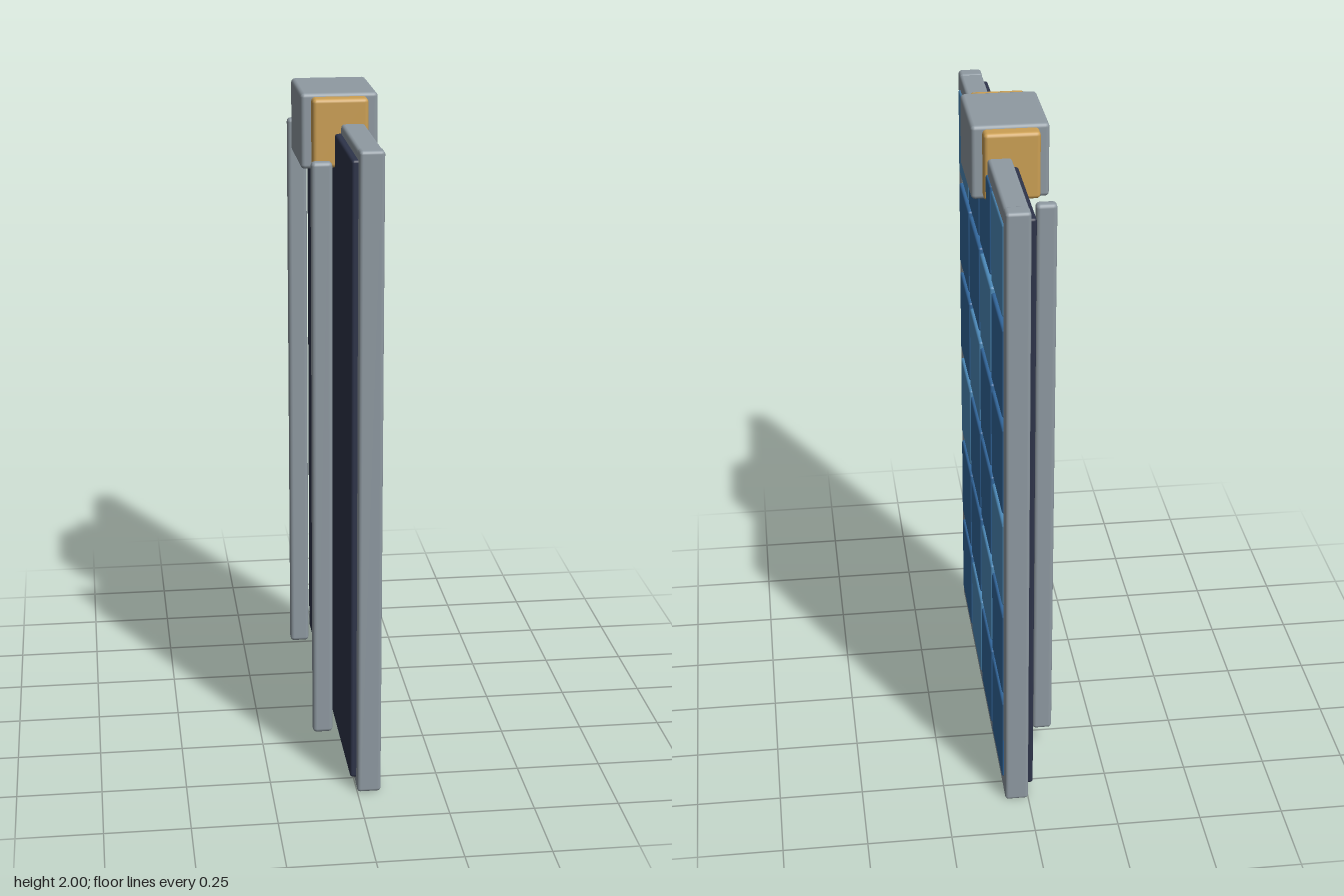
import * as THREE from 'three';
import { RoundedBoxGeometry } from 'three/addons/geometries/RoundedBoxGeometry.js';

const material = (name, color) => {
  const m = new THREE.MeshStandardMaterial({ color });
  m.name = name;
  return m;
};

export function createModel() {
  const metal = material('grey metal', 0x8f9aa2);
  const amber = material('amber', 0xcca054);
  const slate = material('dark slate', 0x2e344a);
  const blue = material('cell blue', 0x33689e);
  const paleBlue = material('pale cell blue', 0x4e8cbc);

  const model = new THREE.Group();
  model.name = 'solarPanel';

  // Rounded box given by its extents on each axis
  const box = (name, mat, [x0, x1], [y0, y1], [z0, z1], radius, parent = model) => {
    const geometry = new RoundedBoxGeometry(x1 - x0, y1 - y0, z1 - z0, 2, radius);
    const mesh = new THREE.Mesh(geometry, mat);
    mesh.position.set((x0 + x1) / 2, (y0 + y1) / 2, (z0 + z1) / 2);
    mesh.name = name;
    parent.add(mesh);
    return mesh;
  };

  // Backing board
  box('backingBoard', slate, [-0.018, 0.045], [0.035, 1.89], [-0.565, 0.565], 0.008);

  // Frame: two posts and two rails
  const frame = new THREE.Group();
  frame.name = 'frame';
  model.add(frame);
  const frameX = [0, 0.07];
  for (const s of [-1, 1]) {
    const z = [s * 0.54, s * 0.595].sort((a, b) => a - b);
    box(s > 0 ? 'frontPost' : 'backPost', metal, frameX, [0, 1.92], z, 0.01, frame);
  }
  box('bottomRail', metal, frameX, [0.003, 0.058], [-0.555, 0.555], 0.01, frame);
  box('topRail', metal, frameX, [1.862, 1.917], [-0.555, 0.555], 0.01, frame);

  // Grid of cells, with pale ones along the diagonals
  const cells = new THREE.Group();
  cells.name = 'cells';
  model.add(cells);
  for (let row = 0; row < 6; row++) {
    for (let col = 0; col < 4; col++) {
      const y = 1.735 - row * 0.309;
      const z = (1.5 - col) * 0.284;
      const mat = (row + col) % 3 === 0 ? paleBlue : blue;
      box('cell', mat, [0.035, 0.075], [y - 0.136, y + 0.136], [z - 0.125, z + 0.125], 0.007, cells);
    }
  }

  // Clamp head at the top
  box('clampCore', amber, [-0.082, 0.08], [1.79, 1.99], [-0.184, 0.184], 0.012);
  box('clampHousing', metal, [-0.112, 0.112], [1.78, 2], [-0.143, 0.143], 0.012);

  // Rear support strips
  for (const z of [-0.34, 0.34]) {
    box('rearStrip', metal, [-0.105, -0.045], [0.083, 1.843], [z - 0.018, z + 0.018], 0.012);
  }

  return model;
}
